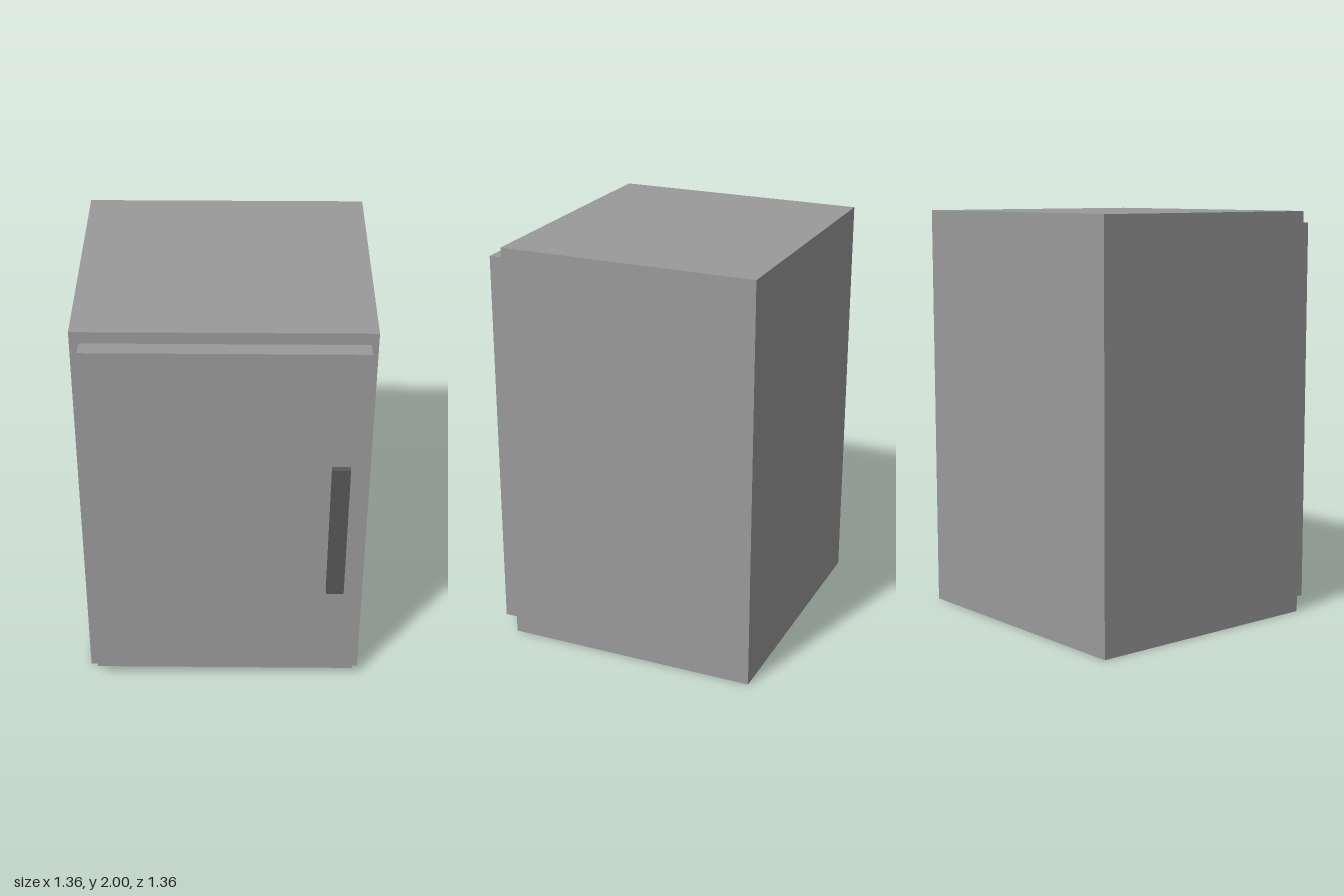
import * as THREE from 'three';

// Box given by its min and max corners
function slab(name, [x0, y0, z0], [x1, y1, z1], material) {
  const mesh = new THREE.Mesh(new THREE.BoxGeometry(x1 - x0, y1 - y0, z1 - z0), material);
  mesh.position.set((x0 + x1) / 2, (y0 + y1) / 2, (z0 + z1) / 2);
  mesh.name = name;
  return mesh;
}

export function createModel() {
  const grey = new THREE.MeshStandardMaterial({ color: 0x9a9a9a });
  const dark = new THREE.MeshStandardMaterial({ color: 0x585858 });

  const cabinet = new THREE.Group();
  cabinet.name = 'cabinet';
  cabinet.add(
    // Main case
    slab('body', [-0.68, 0, -0.68], [0.68, 2, 0.57], grey),
    // Door panel standing proud of the case
    slab('door', [-0.638, 0.06, 0.57], [0.647, 1.942, 0.649], grey),
    // Flat vertical handle near the opening edge
    slab('handle', [0.495, 0.585, 0.649], [0.58, 1.333, 0.68], dark),
  );
  return cabinet;
}
